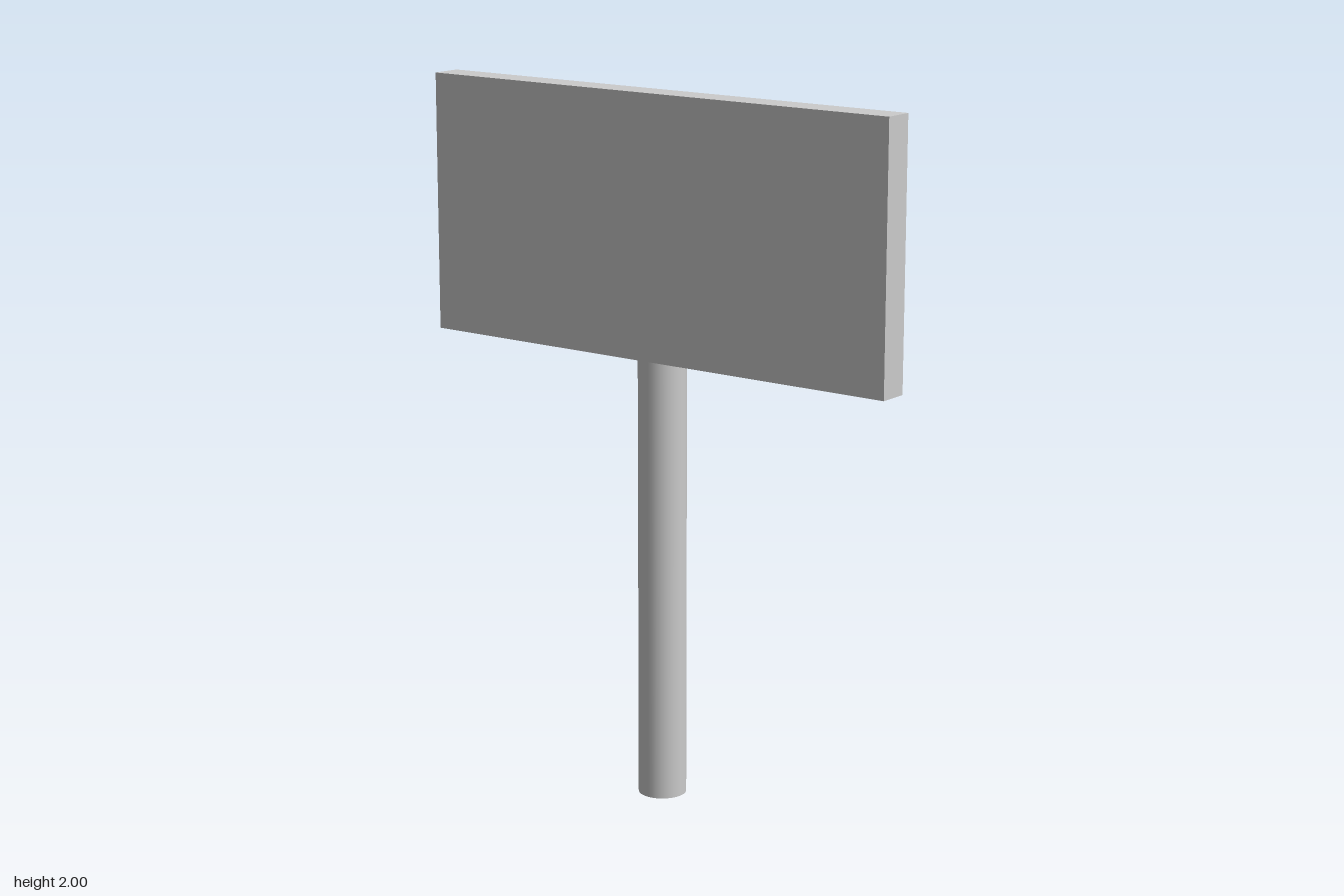
import * as THREE from 'three';

export function createModel() {
  const group = new THREE.Group();
  const material = new THREE.MeshStandardMaterial({ color: 0xcccccc });

  function addPart(name, geometry, x, y, z) {
    const mesh = new THREE.Mesh(geometry, material);
    mesh.name = name;
    mesh.position.set(x, y, z);
    group.add(mesh);
  }

  // Round post, standing on the ground and reaching up behind the board
  const postHeight = 1.375;
  addPart('post', new THREE.CylinderGeometry(0.068, 0.068, postHeight, 32), -0.01, postHeight / 2, -0.002);

  // Flat sign board, set over the front of the post
  const bottom = 1.265, top = 2, back = -0.021, front = 0.068;
  addPart('signBoard', new THREE.BoxGeometry(1.52, top - bottom, front - back),
    0, (top + bottom) / 2, (front + back) / 2);

  return group;
}
